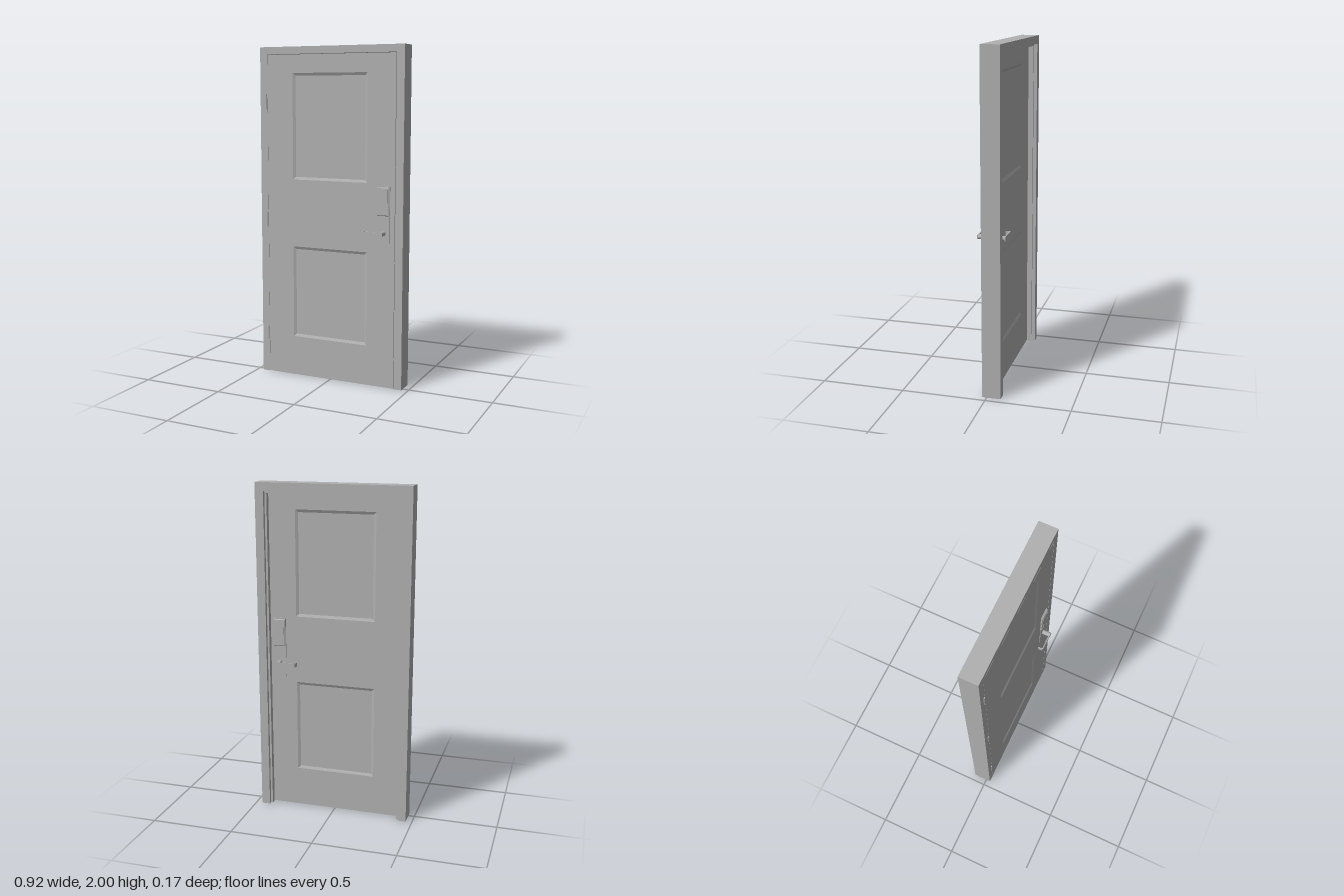
import * as THREE from 'three';

const grey = new THREE.MeshStandardMaterial({ color: 0xb0b0b0 });
grey.name = 'painted grey';

const FRONT = 0.027, BACK = -0.03; // door leaf faces

function add(parent, name, geometry, x = 0, y = 0, z = 0) {
  const mesh = new THREE.Mesh(geometry, grey);
  mesh.name = name;
  mesh.position.set(x, y, z);
  parent.add(mesh);
  return mesh;
}

function rectPoints(x0, y0, x1, y1) {
  return [[x0, y0], [x1, y0], [x1, y1], [x0, y1]].map(([x, y]) => new THREE.Vector2(x, y));
}

function extrude(shape, depth) {
  return new THREE.ExtrudeGeometry(shape, { depth, bevelEnabled: false });
}

// Upside-down U: two jambs and a head, open at the floor
function frameSection(inner, innerTop, z0, z1) {
  const w = 0.462;
  const shape = new THREE.Shape([
    [-w, 0], [-inner, 0], [-inner, innerTop], [inner, innerTop],
    [inner, 0], [w, 0], [w, 2], [-w, 2],
  ].map(([x, y]) => new THREE.Vector2(x, y)));
  return extrude(shape, z1 - z0).translate(0, 0, z0);
}

// Sunk panel: sloped rim from the surface (z = 0) down to a flat field
function sunkPanel(w, h, rim, depth) {
  const ring = (a, b, z) => [[-a, -b, z], [a, -b, z], [a, b, z], [-a, b, z]];
  const outer = ring(w / 2 + rim, h / 2 + rim, 0);
  const inner = ring(w / 2, h / 2, -depth);
  const p = [];
  const quad = (a, b, c, d) => p.push(...a, ...b, ...c, ...a, ...c, ...d);
  for (let i = 0; i < 4; i++) {
    const j = (i + 1) % 4;
    quad(outer[i], outer[j], inner[j], inner[i]);
  }
  quad(...inner);
  const g = new THREE.BufferGeometry();
  g.setAttribute('position', new THREE.Float32BufferAttribute(p, 3));
  g.computeVertexNormals();
  return g;
}

// Box with chamfered front edges, standing on z = 0
function chamferedBox(w, h, depth, c) {
  const a = w / 2 - c, b = h / 2 - c;
  return new THREE.ExtrudeGeometry(new THREE.Shape(rectPoints(-a, -b, a, b)), {
    depth: depth - c, bevelEnabled: true, bevelThickness: c, bevelSize: c, bevelSegments: 1,
  });
}

// Lock plate, reader housing and lever; z = 0 is the door surface, side mirrors x
function lockSet(side) {
  const lock = new THREE.Group();
  const x = 0.343 * side;
  add(lock, 'lockPlate', new THREE.BoxGeometry(0.078, 0.365, 0.004), x, 1.018, 0.002);
  add(lock, 'readerHousing', chamferedBox(0.074, 0.165, 0.012, 0.004), x, 1.11, 0);
  add(lock, 'readerFace', new THREE.BoxGeometry(0.052, 0.14, 0.003), x, 1.11, 0.0125);
  add(lock, 'leverHub', new THREE.CylinderGeometry(0.014, 0.014, 0.055, 24).rotateX(Math.PI / 2), x, 0.925, 0.0275);

  // Flat lever whose free end curls back to the door
  const s = new THREE.Shape();
  s.moveTo(0.013, 0.054);
  s.lineTo(-0.1, 0.054);
  s.quadraticCurveTo(-0.113, 0.054, -0.113, 0.04);
  s.lineTo(-0.113, 0.022);
  s.lineTo(-0.108, 0.022);
  s.lineTo(-0.108, 0.04);
  s.quadraticCurveTo(-0.108, 0.048, -0.1, 0.048);
  s.lineTo(0.013, 0.048);
  const lever = extrude(s, 0.024).rotateX(Math.PI / 2).scale(1, 1, 1);
  if (side < 0) lever.rotateZ(Math.PI).translate(0, -0.024, 0);
  add(lock, 'lever', lever, x, 0.937, 0);
  return lock;
}

export function createModel() {
  const model = new THREE.Group();
  model.name = 'door';

  // Frame in three depths, the middle one being the door stop
  const frame = new THREE.Group();
  frame.name = 'frame';
  model.add(frame);
  add(frame, 'frameBack', frameSection(0.411, 1.95, -0.083, -0.062));
  add(frame, 'doorStop', frameSection(0.399, 1.938, -0.062, BACK - 0.001));
  add(frame, 'frameFront', frameSection(0.414, 1.957, BACK - 0.001, FRONT));

  // Leaf with openings for the panels
  const panels = [[0.26, 0.79], [1.23, 1.83]];
  const px = -0.003, pw = 0.45, rim = 0.016, depth = 0.008;
  const leafShape = new THREE.Shape(rectPoints(-0.413, 0.003, 0.411, 1.954));
  for (const [y0, y1] of panels) {
    leafShape.holes.push(new THREE.Path(
      rectPoints(px - pw / 2 - rim, y0 - rim, px + pw / 2 + rim, y1 + rim).reverse()));
  }
  add(model, 'doorLeaf', extrude(leafShape, FRONT - BACK), 0, 0, BACK);

  // Panels on both faces
  for (const [y0, y1] of panels) {
    const g = sunkPanel(pw, y1 - y0, rim, depth);
    add(model, 'frontPanel', g, px, (y0 + y1) / 2, FRONT);
    add(model, 'backPanel', g, px, (y0 + y1) / 2, BACK).rotation.y = Math.PI;
  }

  // Lock sets on both faces
  const front = lockSet(1);
  front.name = 'frontLock';
  front.position.z = FRONT;
  const back = lockSet(-1);
  back.name = 'backLock';
  back.position.z = BACK;
  back.rotation.y = Math.PI;
  model.add(front, back);

  // Hinge knuckles
  for (const y of [0.247, 0.962, 1.678]) {
    add(model, 'hinge', new THREE.CylinderGeometry(0.007, 0.007, 0.088, 16), -0.424, y, FRONT - 0.001);
  }
  return model;
}
